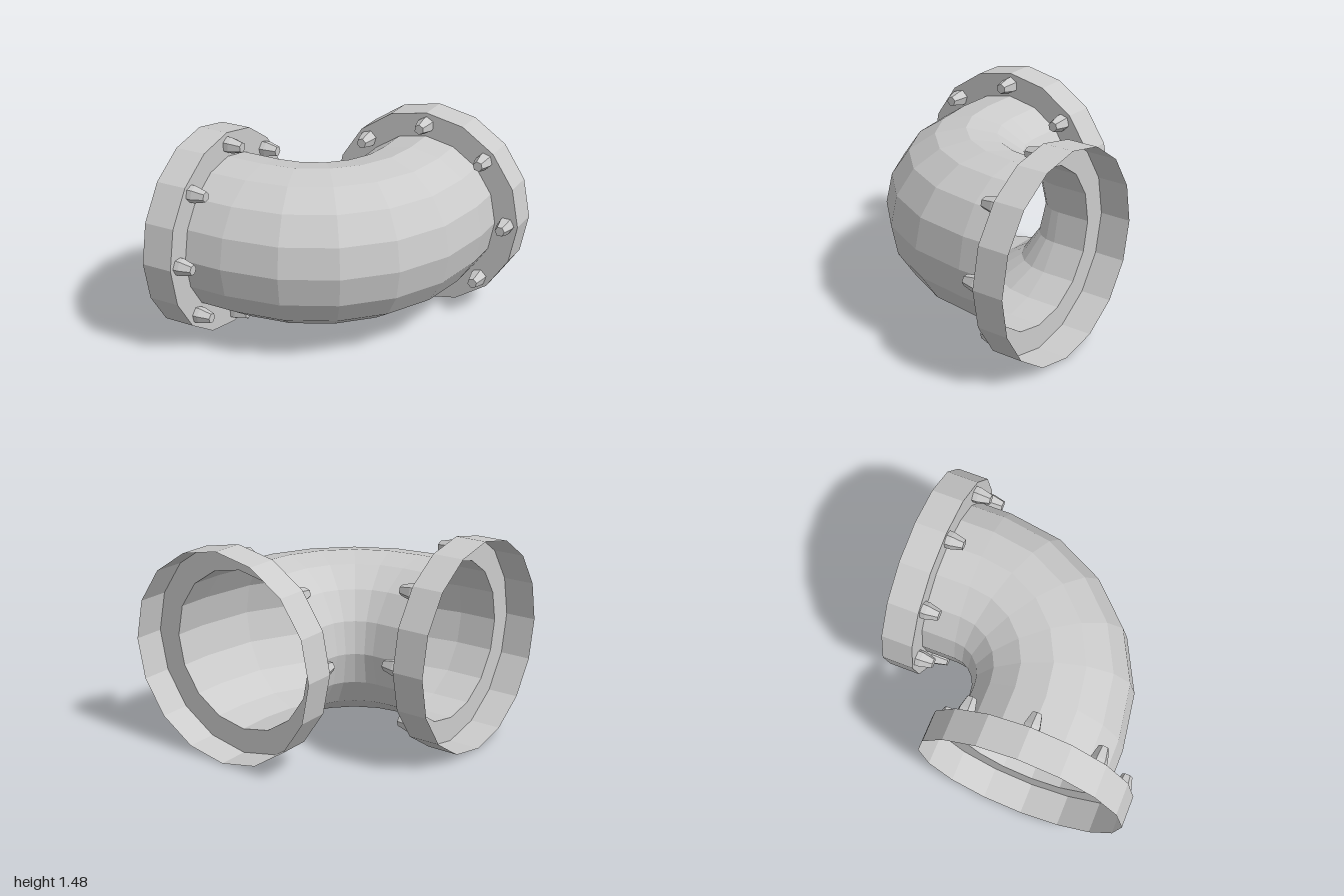
import * as THREE from 'three';

const SIDES = 16;
const CX = -0.4975, CZ = -0.515, AXIS_Y = 0.7375; // bend centre and pipe axis height
const BEND = 0.76, PIPE_R = 0.5625, FLANGE_R = 0.7375, FLANGE_W = 0.225, BOLT_RING = 0.65;
const LEFT_END = -0.5025, BACK_END = 0.4675; // straight runs beyond the bend

const material = new THREE.MeshStandardMaterial({ color: 0xcccccc, flatShading: true, side: THREE.DoubleSide });

// Point on the elbow: theta along the bend, s straight offset, r and phi in the cross-section
function pointAt(theta, s, r, phi) {
  const d = BEND + r * Math.cos(phi);
  return new THREE.Vector3(
    CX + d * Math.sin(theta) + s * Math.cos(theta),
    AXIS_Y + r * Math.sin(phi),
    CZ + d * Math.cos(theta) - s * Math.sin(theta)
  );
}

// Open skin through a row of [theta, s, radius] rings
function loft(stations, name) {
  const positions = [], index = [];
  stations.forEach(([theta, s, r], i) => {
    for (let j = 0; j < SIDES; j++) {
      positions.push(...pointAt(theta, s, r, (j / SIDES) * Math.PI * 2).toArray());
      if (i === stations.length - 1) continue;
      const a = i * SIDES + j, b = i * SIDES + ((j + 1) % SIDES);
      index.push(a, a + SIDES, b, b, a + SIDES, b + SIDES);
    }
  });
  const geometry = new THREE.BufferGeometry();
  geometry.setAttribute('position', new THREE.Float32BufferAttribute(positions, 3));
  geometry.setIndex(index);
  geometry.computeVertexNormals();
  const mesh = new THREE.Mesh(geometry, material);
  mesh.name = name;
  return mesh;
}

// Tapered six-sided bolt, standing on its base along +y
const boltGeometry = new THREE.LatheGeometry(
  [[0.06, 0], [0.06, 0.035], [0.037, 0.122], [0, 0.122]].map(([x, y]) => new THREE.Vector2(x, y)), 6
);

// Hollow collar with a step down to the pipe, and a ring of bolts on the step
function makeFlange(name, theta, end, inward) {
  const group = new THREE.Group();
  group.name = name;
  const step = end + inward * FLANGE_W;
  const rings = [[theta, end, FLANGE_R], [theta, step, FLANGE_R], [theta, step, PIPE_R]];
  group.add(loft(inward > 0 ? rings : rings.reverse(), name + 'Collar'));

  const axis = new THREE.Vector3(Math.cos(theta), 0, -Math.sin(theta)).multiplyScalar(inward);
  const centre = pointAt(theta, step, 0, 0);
  for (let i = 0; i < 8; i++) {
    const bolt = new THREE.Mesh(boltGeometry, material);
    bolt.name = 'bolt';
    bolt.position.copy(pointAt(theta, step, BOLT_RING, (i * Math.PI) / 4));
    const radial = bolt.position.clone().sub(centre).normalize();
    const side = new THREE.Vector3().crossVectors(axis, radial);
    bolt.quaternion.setFromRotationMatrix(new THREE.Matrix4().makeBasis(side, axis, radial));
    group.add(bolt);
  }
  return group;
}

export function createModel() {
  const model = new THREE.Group();
  model.name = 'pipeElbow';

  // Pipe: straight run, five-segment quarter bend, straight run
  const stations = [[0, LEFT_END + FLANGE_W, PIPE_R]];
  for (let i = 0; i <= 5; i++) stations.push([(i / 5) * Math.PI / 2, 0, PIPE_R]);
  stations.push([Math.PI / 2, BACK_END - FLANGE_W, PIPE_R]);
  model.add(loft(stations, 'pipe'));

  model.add(makeFlange('sideFlange', 0, LEFT_END, 1));
  model.add(makeFlange('backFlange', Math.PI / 2, BACK_END, -1));
  return model;
}
